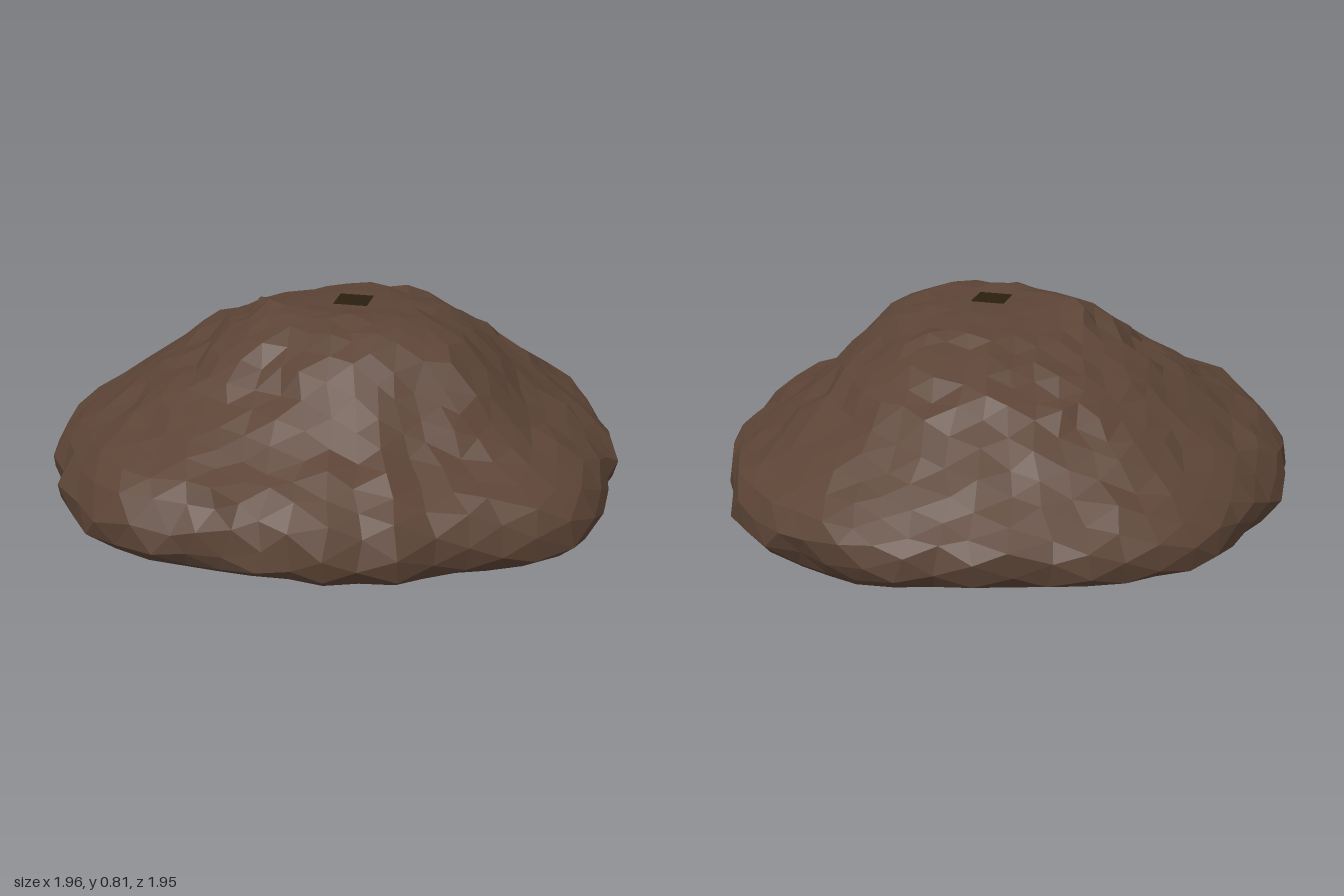
import * as THREE from 'three';

// Plan outline of the rock as x, z pairs, going round from the back
const OUTLINE = [
  -0.05, -1.0, 0.25, -0.94, 0.35, -0.87, 0.5, -0.8, 0.6, -0.72, 0.76, -0.62, 0.86, -0.5,
  0.92, -0.35, 0.98, -0.2, 0.99, -0.08, 0.97, 0.08, 0.9, 0.25, 0.83, 0.42, 0.76, 0.53,
  0.7, 0.62, 0.6, 0.7, 0.5, 0.82, 0.4, 0.91, 0.2, 1.0, 0.06, 0.97, -0.07, 0.92,
  -0.2, 0.89, -0.33, 0.88, -0.42, 0.81, -0.52, 0.78, -0.6, 0.66, -0.7, 0.57, -0.8, 0.44,
  -0.92, 0.3, -0.98, 0.15, -1.0, 0.08, -0.98, -0.1, -0.92, -0.28, -0.88, -0.4, -0.8, -0.52,
  -0.7, -0.65, -0.58, -0.75, -0.42, -0.86, -0.2, -0.97,
];

// Cross-section rows: position from crown to base, share of outline, height at +x, +z, -x, -z
const PROFILE = [
  [0.00, 0.00, 0.80, 0.80, 0.80, 0.80],
  [0.06, 0.12, 0.80, 0.80, 0.805, 0.79],
  [0.13, 0.25, 0.785, 0.81, 0.81, 0.755],
  [0.20, 0.38, 0.75, 0.785, 0.74, 0.71],
  [0.26, 0.50, 0.675, 0.73, 0.635, 0.66],
  [0.32, 0.60, 0.62, 0.60, 0.58, 0.61],
  [0.37, 0.70, 0.52, 0.51, 0.52, 0.53],
  [0.42, 0.80, 0.465, 0.455, 0.475, 0.45],
  [0.47, 0.90, 0.40, 0.40, 0.43, 0.385],
  [0.51, 0.97, 0.34, 0.35, 0.36, 0.33],
  [0.54, 1.00, 0.29, 0.28, 0.28, 0.29],
  [0.58, 0.985, 0.21, 0.20, 0.20, 0.20],
  [0.64, 0.90, 0.13, 0.15, 0.15, 0.185],
  [0.72, 0.75, 0.08, 0.105, 0.105, 0.145],
  [0.80, 0.55, 0.038, 0.05, 0.06, 0.09],
  [0.90, 0.30, 0.015, 0.015, 0.025, 0.025],
  [1.00, 0.00, 0.00, 0.00, 0.00, 0.00],
];

// Distance from the centre to the outline in a unit direction
function outlineRadius(dx, dz) {
  const n = OUTLINE.length;
  for (let i = 0; i < n; i += 2) {
    const ax = OUTLINE[i], az = OUTLINE[i + 1];
    const ex = OUTLINE[(i + 2) % n] - ax, ez = OUTLINE[(i + 3) % n] - az;
    const det = dx * ez - dz * ex;
    if (Math.abs(det) < 1e-9) continue;
    const r = (ax * ez - az * ex) / det;
    const s = (ax * dz - az * dx) / det;
    if (r > 0 && s >= -1e-6 && s <= 1 + 1e-6) return r;
  }
  return 1;
}

// Share of outline and height for a row position and a direction
function section(t, dx, dz) {
  let i = 0;
  while (i < PROFILE.length - 2 && t > PROFILE[i + 1][0]) i++;
  const a = PROFILE[i], b = PROFILE[i + 1];
  const k = (t - a[0]) / (b[0] - a[0]);
  const mix = (c) => a[c] + (b[c] - a[c]) * k;
  const y = mix(dx > 0 ? 2 : 4) * dx * dx + mix(dz > 0 ? 3 : 5) * dz * dz;
  return [mix(1), y];
}

// Repeatable noise from -1 to 1 for a point
function noise(p, seed) {
  const q = (v) => Math.round(v * 1000);
  let h = (q(p.x) * 73856093) ^ (q(p.y) * 19349663) ^ (q(p.z) * 83492791) ^ (seed * 2654435);
  h = Math.imul(h ^ (h >>> 15), 2246822519);
  h = Math.imul(h ^ (h >>> 13), 3266489917);
  return (((h ^ (h >>> 16)) >>> 0) / 4294967295) * 2 - 1;
}

export function createModel() {
  const group = new THREE.Group();
  group.name = 'rock';

  // Boulder: a faceted sphere reshaped by the outline and cross-sections
  const geometry = new THREE.IcosahedronGeometry(1, 8);
  const pos = geometry.attributes.position;
  const p = new THREE.Vector3();
  for (let i = 0; i < pos.count; i++) {
    p.fromBufferAttribute(pos, i).normalize();
    const t = Math.acos(THREE.MathUtils.clamp(p.y, -1, 1)) / Math.PI;
    const flat = Math.hypot(p.x, p.z);
    const dx = flat > 1e-6 ? p.x / flat : 1;
    const dz = flat > 1e-6 ? p.z / flat : 0;
    const [f, y] = section(t, dx, dz);
    const r = f * outlineRadius(dx, dz);
    // Rough sides, calm crown and smooth base
    const rough = t < 0.12 ? 0 : t < 0.58 ? 1 : 0.15;
    pos.setXYZ(
      i,
      dx * r + noise(p, 1) * 0.014 * rough,
      y + noise(p, 2) * 0.013 * rough,
      dz * r + noise(p, 3) * 0.014 * rough,
    );
  }
  geometry.computeBoundingBox();
  geometry.translate(0, -geometry.boundingBox.min.y, 0);
  geometry.computeVertexNormals();
  const boulder = new THREE.Mesh(
    geometry,
    new THREE.MeshStandardMaterial({ color: 0x5c4436, flatShading: true }),
  );
  boulder.name = 'boulder';
  group.add(boulder);

  // Dark diamond-shaped opening on the crown
  const opening = new THREE.Mesh(
    new THREE.CircleGeometry(0.08, 4).rotateX(-Math.PI / 2),
    new THREE.MeshStandardMaterial({ color: 0x2a2010, side: THREE.DoubleSide }),
  );
  opening.name = 'crownOpening';
  opening.position.set(0.01, 0.808, 0.07);
  group.add(opening);

  return group;
}
